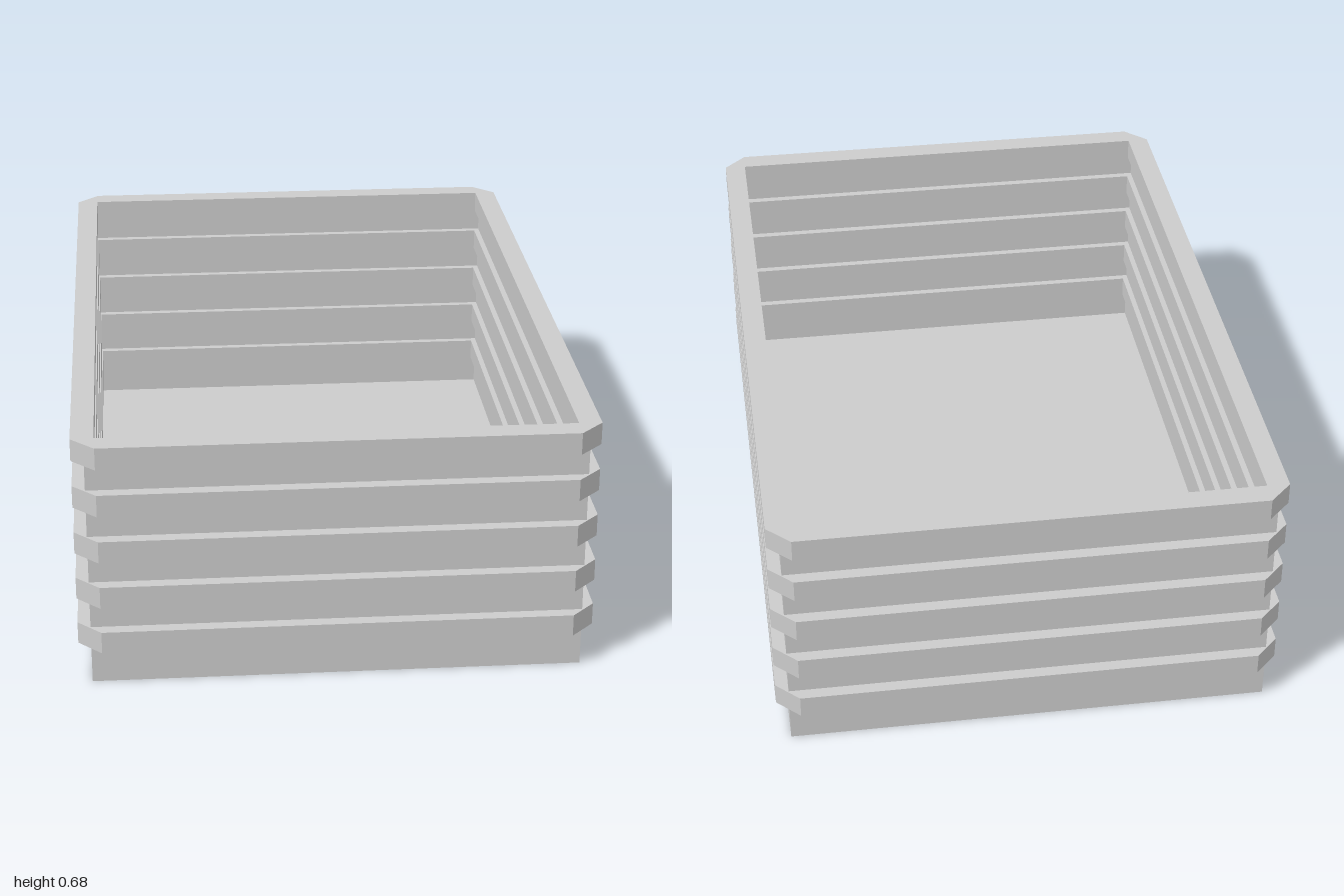
import * as THREE from 'three';

const material = new THREE.MeshStandardMaterial({ color: 0xcccccc, flatShading: true });

// Closed outline: rectangle of half sizes x, z with corners cut by c
function outline(x, z, c = 0) {
  const points = c
    ? [[x, c - z], [x, z - c], [x - c, z], [c - x, z], [-x, z - c], [-x, c - z], [c - x, -z], [x - c, -z]]
    : [[x, -z], [x, z], [-x, z], [-x, -z]];
  return points.map(([a, b]) => new THREE.Vector2(a, b));
}

// Horizontal frame from y upwards, hollow between two outlines
function frame(name, outer, inner, y, height) {
  const shape = new THREE.Shape(outer);
  shape.holes.push(new THREE.Path(inner));
  const geometry = new THREE.ExtrudeGeometry(shape, { depth: height, bevelEnabled: false });
  geometry.rotateX(-Math.PI / 2);
  const mesh = new THREE.Mesh(geometry, material);
  mesh.name = name;
  mesh.position.y = y;
  return mesh;
}

export function createModel() {
  const model = new THREE.Group();
  model.name = 'crate';
  const wallX = 0.642, wallZ = 0.967, thickness = 0.01;

  // Floor panel
  const floor = new THREE.Mesh(
    new THREE.BoxGeometry(2 * wallX, thickness, 2 * wallZ), material);
  floor.name = 'floor';
  floor.position.y = thickness / 2;
  model.add(floor);

  // Thin walls, ending inside the top band
  model.add(frame('walls', outline(wallX, wallZ),
    outline(wallX - thickness, wallZ - thickness), thickness, 0.64));

  // Five bands with cut outer corners, standing proud inside and out
  for (let i = 0; i < 5; i++) {
    model.add(frame(`band${i + 1}`, outline(0.676, 1, 0.062),
      outline(0.616, 0.936), 0.1 + i * 0.13, 0.06));
  }
  return model;
}
